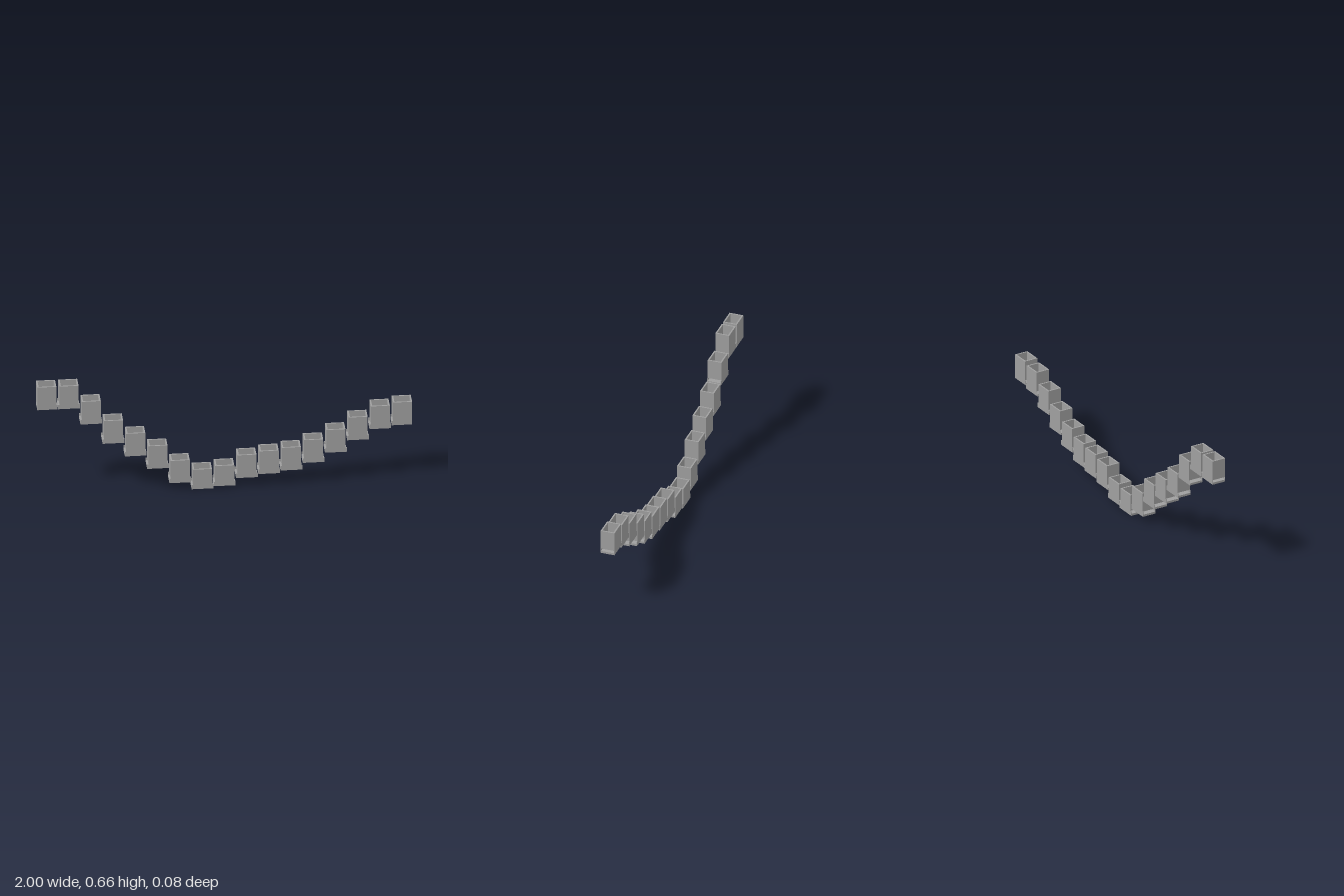
import * as THREE from 'three';

export function createModel() {
  const model = new THREE.Group();
  model.name = 'binRow';
  const grey = new THREE.MeshStandardMaterial({ color: 0x9f9f9f });
  grey.name = 'grey';

  const HALF_DEPTH = 0.039, BODY_HALF = 0.051, BASE_HALF = 0.058;
  const FLOOR = 0.012, BASE_HEIGHT = 0.027, WALL = 0.008, RAIL = 0.002;

  // bottom and top height of each bin, from -x to +x
  const levels = [
    [0.523, 0.66], [0.523, 0.66], [0.424, 0.561], [0.301, 0.438], [0.218, 0.355],
    [0.136, 0.273], [0.043, 0.178], [0, 0.118], [0.012, 0.134], [0.055, 0.192],
    [0.073, 0.21], [0.088, 0.225], [0.128, 0.265], [0.183, 0.32], [0.252, 0.389],
    [0.313, 0.45], [0.33, 0.467],
  ];

  // rectangle traced as a shape or hole
  const rect = (path, hx, hz) => {
    path.moveTo(-hx, -hz);
    path.lineTo(hx, -hz);
    path.lineTo(hx, hz);
    path.lineTo(-hx, hz);
    path.closePath();
    return path;
  };

  // open-ended box walls, standing on y = 0
  const tubeGeometry = (height) => {
    const shape = rect(new THREE.Shape(), BODY_HALF, HALF_DEPTH);
    shape.holes.push(rect(new THREE.Path(), BODY_HALF - WALL, HALF_DEPTH - WALL));
    const geo = new THREE.ExtrudeGeometry(shape, { depth: height, bevelEnabled: false });
    return geo.rotateX(-Math.PI / 2);
  };

  const add = (group, name, geo, x, y, z) => {
    const mesh = new THREE.Mesh(geo, grey);
    mesh.name = name;
    mesh.position.set(x, y, z);
    group.add(mesh);
  };

  const first = -1 + BODY_HALF;
  const pitch = (-2 * first) / (levels.length - 1);

  levels.forEach(([bottom, top], i) => {
    const bin = new THREE.Group();
    bin.name = 'bin' + (i + 1);
    const x = first + i * pitch;
    bin.position.set(x, bottom, 0);

    // base channel, trimmed flush at both ends of the row
    const x0 = Math.max(-1 - x, -BASE_HALF), x1 = Math.min(1 - x, BASE_HALF);
    const width = x1 - x0, mid = (x0 + x1) / 2;
    add(bin, 'baseFloor', new THREE.BoxGeometry(width, FLOOR, HALF_DEPTH * 2), mid, FLOOR / 2, 0);
    const railHeight = BASE_HEIGHT - FLOOR;
    for (const side of [-1, 1]) {
      add(bin, 'baseRail', new THREE.BoxGeometry(width, railHeight, RAIL),
        mid, FLOOR + railHeight / 2, side * (HALF_DEPTH - RAIL / 2));
    }

    // hollow upper walls
    add(bin, 'binWalls', tubeGeometry(top - bottom - BASE_HEIGHT), 0, BASE_HEIGHT, 0);
    model.add(bin);
  });

  return model;
}
